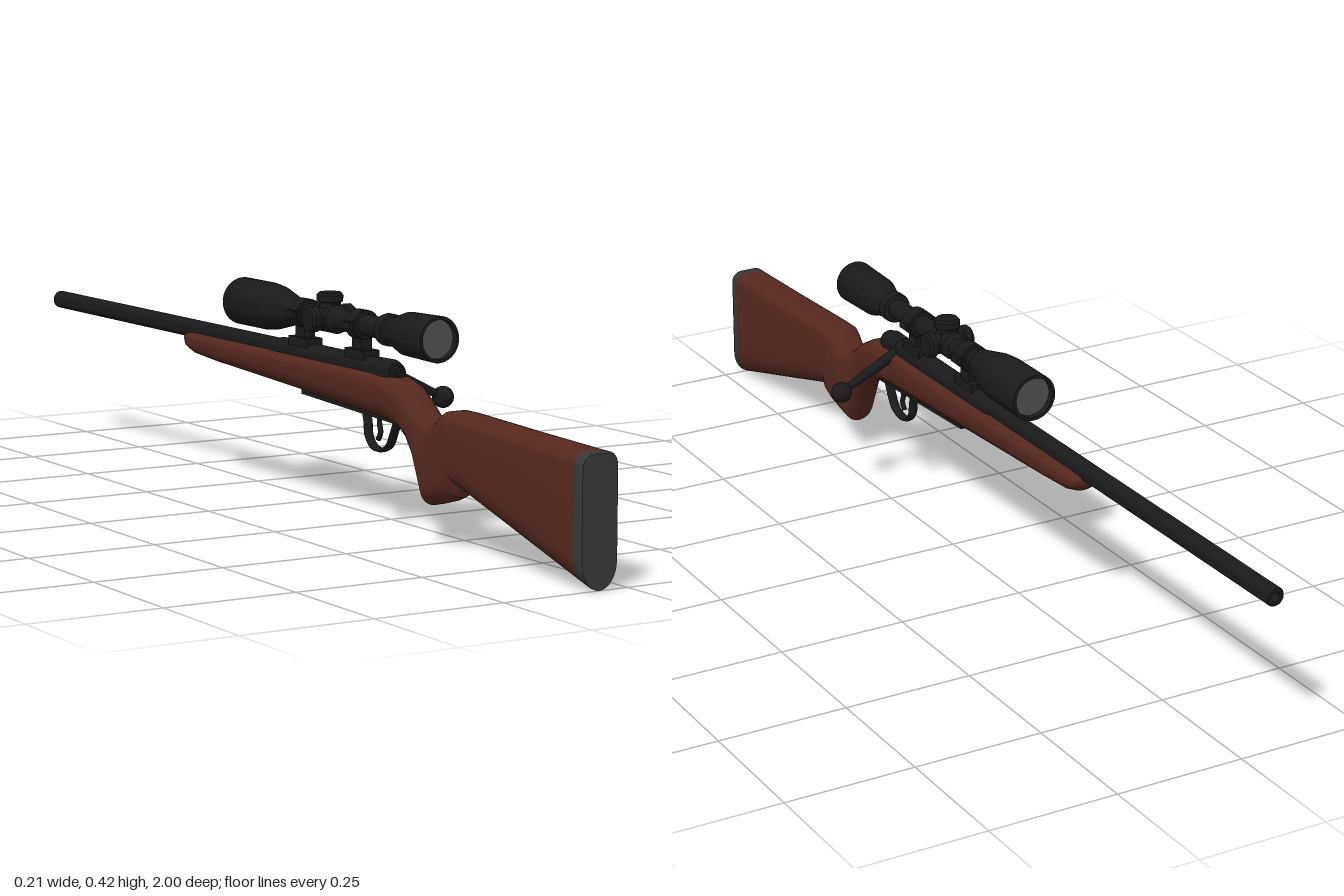
import * as THREE from 'three';
import { toCreasedNormals } from 'three/addons/utils/BufferGeometryUtils.js';

const mat = (color) => new THREE.MeshStandardMaterial({ color, side: THREE.DoubleSide });
const wood = mat(0x55281f), metal = mat(0x1a1a1a), rubber = mat(0x383838), glass = mat(0x505050);

function add(parent, name, geo, material, x = 0, y = 0, z = 0) {
  const mesh = new THREE.Mesh(geo, material);
  mesh.name = name;
  mesh.position.set(x, y, z);
  parent.add(mesh);
  return mesh;
}

// Turned part along z; profile is [radius, z] from low z to high z
function turned(profile, sides = 32) {
  const geo = new THREE.LatheGeometry(profile.map(([r, z]) => new THREE.Vector2(r, z)), sides);
  return toCreasedNormals(geo.rotateX(Math.PI / 2), 0.6);
}

// Cross-section: half-round belly, softly rounded top corners; runs from bottom to top point
function section([tz, ty, bz, by, w, belly, corner]) {
  const h = Math.hypot(tz - bz, ty - by), dz = (tz - bz) / h, dy = (ty - by) / h;
  const pts = [];
  const arc = (cu, cv, ru, rv, from, to, n) => {
    for (let i = 0; i <= n; i++) {
      const a = from + (to - from) * i / n, v = cv + rv * Math.sin(a);
      pts.push([cu + ru * Math.cos(a), by + dy * v, bz + dz * v]);
    }
  };
  const rb = Math.min(belly, h * 0.55), rt = Math.min(corner, h * 0.4);
  arc(0, rb, w, rb, Math.PI, 2 * Math.PI, 14);
  arc(w - rt, h - rt, rt, rt, 0, Math.PI / 2, 5);
  arc(rt - w, h - rt, rt, rt, Math.PI / 2, Math.PI, 5);
  return pts;
}

// Skin over sections ordered from the butt forwards, closed at both ends
function loft(stations) {
  const rings = stations.map(section), n = rings[0].length, pos = [], index = [];
  rings.forEach((ring) => ring.forEach((p) => pos.push(...p)));
  for (let i = 0; i < rings.length - 1; i++) {
    for (let j = 0; j < n; j++) {
      const a = i * n + j, b = i * n + (j + 1) % n;
      index.push(a, a + n, b, b, a + n, b + n);
    }
  }
  const last = (rings.length - 1) * n;
  for (let j = 1; j < n - 1; j++) index.push(0, j, j + 1, last, last + j + 1, last + j);
  const geo = new THREE.BufferGeometry();
  geo.setAttribute('position', new THREE.Float32BufferAttribute(pos, 3));
  geo.setIndex(index);
  return toCreasedNormals(geo, 0.75);
}

export function createModel() {
  const model = new THREE.Group();
  model.name = 'rifle';
  const rifle = new THREE.Group();
  rifle.name = 'rifleBody';
  rifle.position.x = -0.058;
  model.add(rifle);

  // Stock: top z, top y, bottom z, bottom y, half width, belly radius, corner radius
  add(rifle, 'stock', loft([
    [0.978, 0.236, 0.978, 0.007, 0.038, 0.05, 0.022],
    [0.80, 0.242, 0.80, 0.057, 0.038, 0.05, 0.022],
    [0.60, 0.25, 0.62, 0.108, 0.038, 0.05, 0.022],
    [0.562, 0.25, 0.59, 0.117, 0.038, 0.045, 0.022],
    [0.55, 0.245, 0.584, 0.097, 0.037, 0.04, 0.024],
    [0.535, 0.233, 0.56, 0.087, 0.036, 0.035, 0.026],
    [0.515, 0.224, 0.523, 0.077, 0.035, 0.035, 0.028],
    [0.50, 0.224, 0.492, 0.07, 0.034, 0.035, 0.03],
    [0.485, 0.23, 0.479, 0.1, 0.034, 0.035, 0.03],
    [0.465, 0.243, 0.462, 0.14, 0.034, 0.035, 0.03],
    [0.44, 0.262, 0.435, 0.172, 0.034, 0.04, 0.028],
    [0.41, 0.278, 0.40, 0.195, 0.035, 0.04, 0.025],
    [0.37, 0.287, 0.355, 0.207, 0.036, 0.04, 0.022],
    [0.31, 0.29, 0.29, 0.211, 0.037, 0.04, 0.018],
    [0.0, 0.29, 0.0, 0.226, 0.037, 0.04, 0.014],
    [-0.28, 0.29, -0.28, 0.24, 0.036, 0.036, 0.012],
    [-0.36, 0.29, -0.36, 0.246, 0.035, 0.034, 0.012],
    [-0.385, 0.289, -0.385, 0.253, 0.032, 0.03, 0.012],
    [-0.398, 0.287, -0.398, 0.264, 0.026, 0.02, 0.009],
    [-0.402, 0.284, -0.402, 0.272, 0.018, 0.01, 0.005],
  ]), wood);
  add(rifle, 'buttPad', loft([
    [1, 0.233, 1, 0.001, 0.036, 0.05, 0.022],
    [0.996, 0.236, 0.996, 0.002, 0.038, 0.05, 0.022],
    [0.978, 0.236, 0.978, 0.007, 0.038, 0.05, 0.022],
  ]), rubber);

  // Barrel with open muzzle, receiver and bolt shroud
  add(rifle, 'barrel', turned([[0, -0.96], [0.009, -0.96], [0.009, -1], [0.016, -1], [0.018, -0.997], [0.018, 0.1]]), metal, 0, 0.294);
  add(rifle, 'receiver', turned([[0, -0.07], [0.019, -0.07], [0.023, -0.05], [0.023, 0.3], [0.021, 0.31], [0, 0.31]]), metal, 0, 0.292);
  add(rifle, 'boltShroud', turned([[0, 0.3], [0.023, 0.3], [0.024, 0.345], [0.019, 0.362], [0.014, 0.362], [0.013, 0.37],
    [0.008, 0.37], [0.007, 0.376], [0, 0.376]]), metal, 0, 0.293);

  // Bolt handle, sloping out to a ball knob
  const root = new THREE.Vector3(0.012, 0.292, 0.3), end = new THREE.Vector3(0.143, 0.231, 0.295);
  const dir = end.clone().sub(root);
  const handle = add(rifle, 'boltHandle', new THREE.CylinderGeometry(0.007, 0.012, dir.length(), 16), metal);
  handle.position.copy(root).addScaledVector(dir, 0.5);
  handle.quaternion.setFromUnitVectors(new THREE.Vector3(0, 1, 0), dir.normalize());
  add(rifle, 'boltKnob', new THREE.SphereGeometry(0.0205, 24, 16), metal, end.x, end.y, end.z);

  // Trigger guard, trigger and floor plate
  const guardPath = new THREE.CatmullRomCurve3([[0.368, 0.212], [0.352, 0.18], [0.337, 0.156], [0.31, 0.145], [0.282, 0.149],
    [0.265, 0.168], [0.262, 0.19], [0.255, 0.216]].map(([z, y]) => new THREE.Vector3(0, y, z)));
  const guard = add(rifle, 'triggerGuard', new THREE.TubeGeometry(guardPath, 40, 0.0045, 10), metal);
  guard.scale.x = 2.2;
  const triggerPath = new THREE.CatmullRomCurve3([[0.305, 0.22], [0.302, 0.195], [0.306, 0.177], [0.298, 0.163]]
    .map(([z, y]) => new THREE.Vector3(0, y, z)));
  add(rifle, 'trigger', new THREE.TubeGeometry(triggerPath, 16, 0.005, 10), metal);
  const plate = add(rifle, 'floorPlate', new THREE.BoxGeometry(0.03, 0.01, 0.33), metal, 0, 0.2155, 0.21);
  plate.rotation.x = 0.045;

  // Scope body: objective bell, tube, power ring and eyepiece
  const scope = new THREE.Group();
  scope.name = 'scope';
  scope.position.y = 0.37;
  rifle.add(scope);
  add(scope, 'scopeBody', turned([
    [0.039, -0.19], [0.039, -0.205], [0.045, -0.205], [0.046, -0.203], [0.046, -0.1], [0.043, -0.07], [0.029, -0.01], [0.02, 0.005],
    [0.02, 0.325], [0.029, 0.327], [0.03, 0.33], [0.03, 0.345], [0.029, 0.348], [0.025, 0.35], [0.027, 0.36],
    [0.037, 0.395], [0.04, 0.405], [0.0425, 0.502], [0.041, 0.505], [0.036, 0.505], [0.036, 0.49],
  ], 40), metal);
  const lens = (name, r, z) => add(scope, name, new THREE.CircleGeometry(r, 40), glass, 0, 0, z);
  lens('eyepieceLens', 0.0365, 0.492);
  lens('objectiveLens', 0.0395, -0.192).rotation.y = Math.PI;

  // Adjustment turrets: top and both sides, around a thicker saddle
  add(scope, 'turretSaddle', turned([[0.02, 0.085], [0.027, 0.095], [0.027, 0.155], [0.02, 0.165]]), metal);
  [-1, 0, 1].forEach((side) => {
    const geo = turned([[0, 0], [0.021, 0], [0.021, 0.03], [0.025, 0.032], [0.025, 0.044], [0.021, 0.049], [0, 0.049]], 24);
    geo.rotateX(-Math.PI / 2).rotateZ(-side * Math.PI / 2);
    add(scope, ['leftTurret', 'topTurret', 'rightTurret'][1 - side], geo, metal, 0, 0, 0.125);
  });

  // Scope mounts: clamp ring, neck and foot
  [0.24, 0.035].forEach((z, i) => {
    const mount = new THREE.Group();
    mount.name = i ? 'frontMount' : 'rearMount';
    mount.position.z = z;
    rifle.add(mount);
    add(mount, 'clampRing', turned([[0.019, -0.017], [0.026, -0.017], [0.028, -0.015], [0.028, 0.015], [0.026, 0.017], [0.019, 0.017]]), metal, 0, 0.37);
    [-1, 1].forEach((s) => add(mount, 'clampLug', new THREE.BoxGeometry(0.012, 0.014, 0.026), metal, s * 0.029, 0.37));
    add(mount, 'neck', new THREE.BoxGeometry(0.024, 0.04, 0.032), metal, 0, 0.335);
    add(mount, 'foot', new THREE.BoxGeometry(0.034, 0.02, 0.068), metal, 0, 0.315);
  });
  return model;
}
